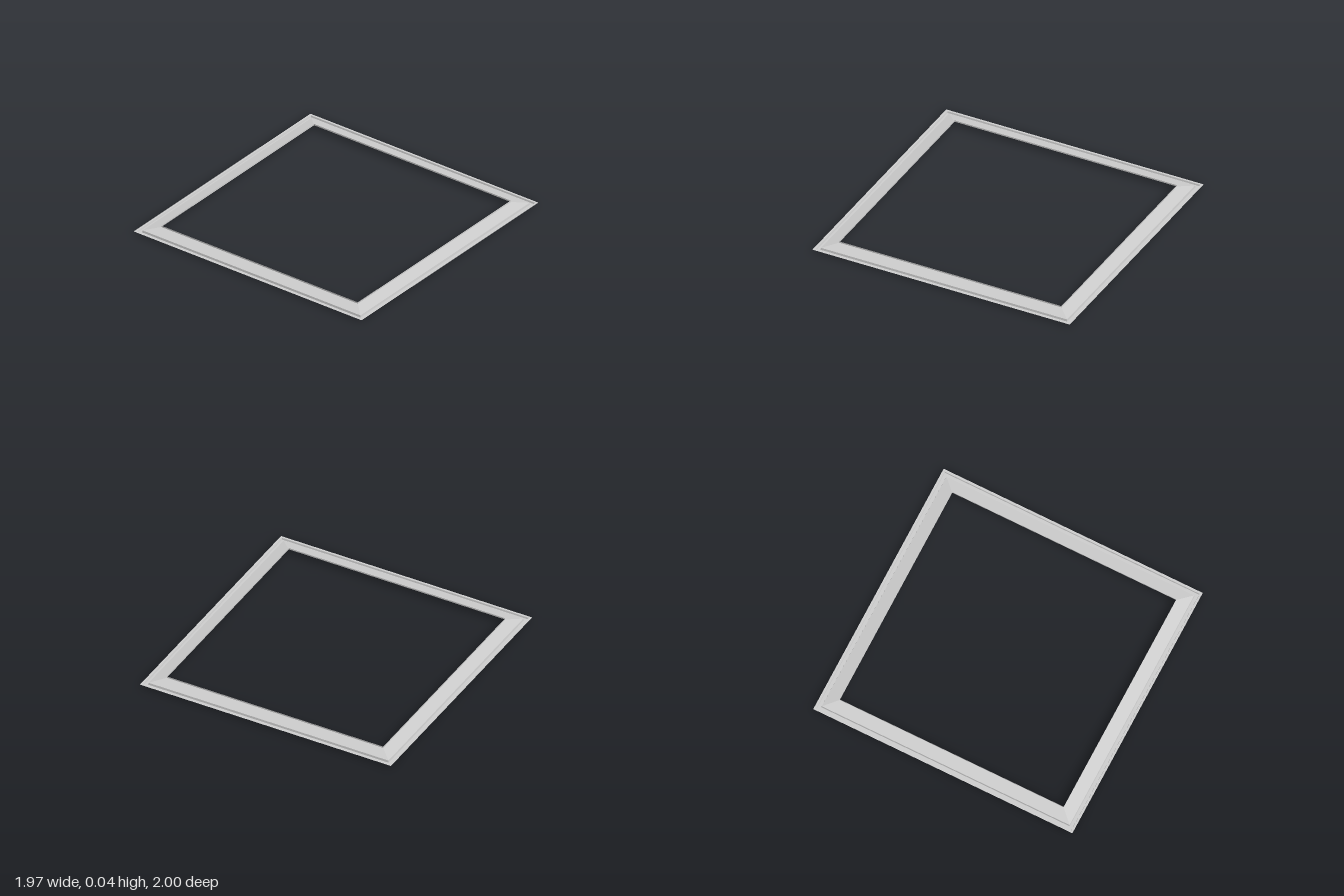
import * as THREE from 'three';

const HALF_X = 0.987, HALF_Z = 1.0;
const material = new THREE.MeshStandardMaterial({ color: 0xcccccc, flatShading: true, side: THREE.DoubleSide });

// Corners of the rectangle, counter-clockwise seen from above
const CORNERS = [[1, 1], [1, -1], [-1, -1], [-1, 1]];

// Mitred rectangular sweep of a profile of [inset from outer edge, height]
function mitredFrame(name, profile) {
  const positions = [];
  const point = ([sx, sz], [inset, y]) => [sx * (HALF_X - inset), y, sz * (HALF_Z - inset)];
  for (let side = 0; side < 4; side++) {
    const from = CORNERS[side], to = CORNERS[(side + 1) % 4];
    for (let i = 0; i < profile.length - 1; i++) {
      const a = point(from, profile[i]), b = point(to, profile[i]);
      const c = point(to, profile[i + 1]), d = point(from, profile[i + 1]);
      positions.push(...a, ...b, ...c, ...a, ...c, ...d);
    }
  }
  const geometry = new THREE.BufferGeometry();
  geometry.setAttribute('position', new THREE.Float32BufferAttribute(positions, 3));
  geometry.computeVertexNormals();
  const mesh = new THREE.Mesh(geometry, material);
  mesh.name = name;
  return mesh;
}

export function createModel() {
  const group = new THREE.Group();
  group.name = 'frame';
  // Thin flat rim around the outside
  group.add(mitredFrame('outerFlange', [[0, 0.012], [0.016, 0.012]]));
  // Shallow channel running round the frame
  group.add(mitredFrame('channel', [[0.016, 0.012], [0.019, 0], [0.041, 0], [0.044, 0.015]]));
  // Sloping face rising towards the opening
  group.add(mitredFrame('slopingFace', [[0.044, 0.015], [0.136, 0.032]]));
  // Upright lip around the opening
  group.add(mitredFrame('innerLip', [[0.136, 0.032], [0.136, 0.043]]));
  return group;
}
